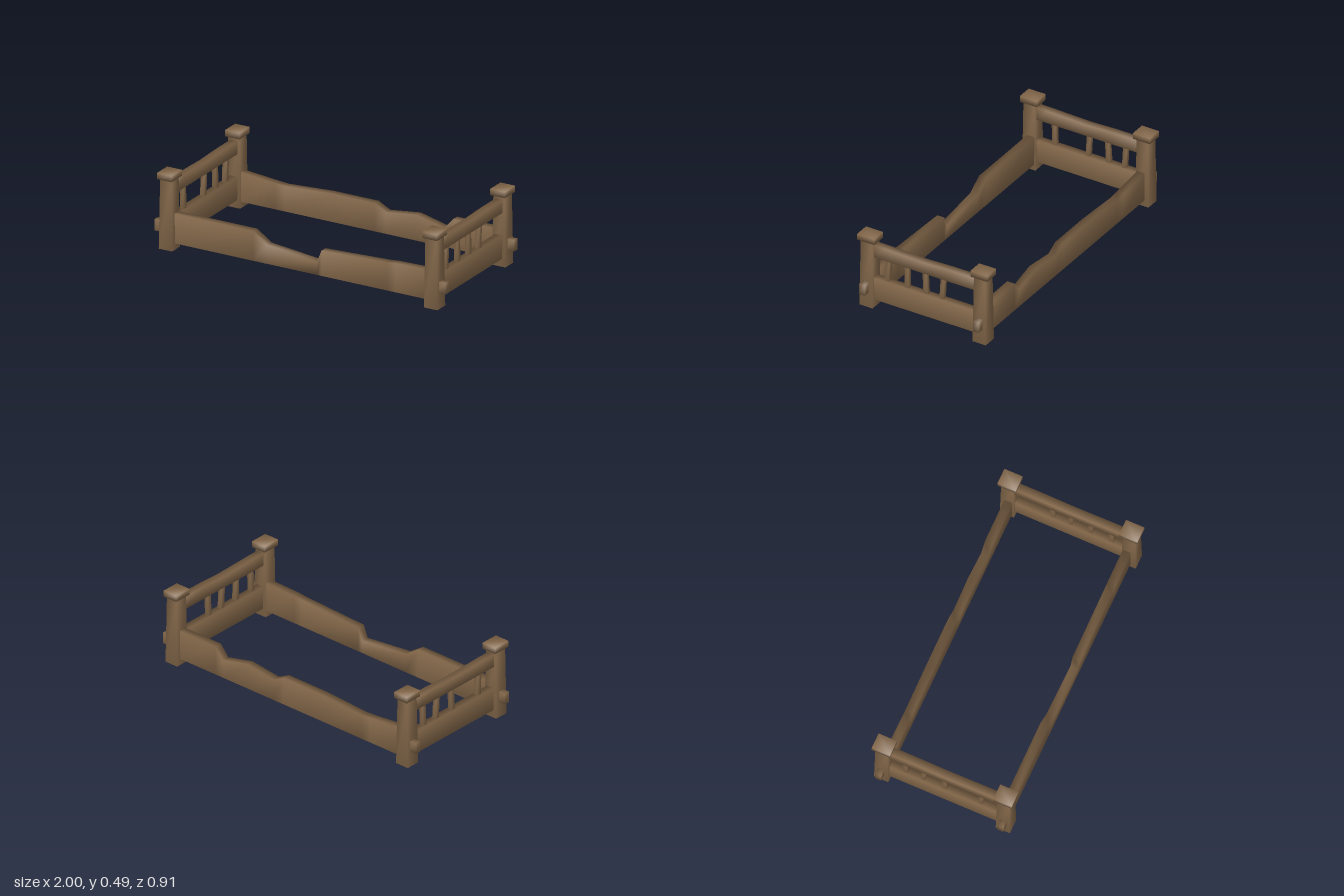
import * as THREE from 'three';
import { mergeVertices } from 'three/addons/utils/BufferGeometryUtils.js';

const wood = new THREE.MeshStandardMaterial({ color: 0x836749 });
wood.name = 'brown wood';

// Unit box whose corners are moved by a rule, with normals smoothed across the edges
function softBox(name, rule, segX = 1, segZ = 1) {
  let g = new THREE.BoxGeometry(1, 1, 1, segX, 1, segZ);
  g.deleteAttribute('normal');
  g.deleteAttribute('uv');
  g = mergeVertices(g);
  const p = g.attributes.position;
  const v = new THREE.Vector3();
  for (let i = 0; i < p.count; i++) {
    rule(v.fromBufferAttribute(p, i));
    p.setXYZ(i, v.x, v.y, v.z);
  }
  g.computeVertexNormals();
  const mesh = new THREE.Mesh(g, wood);
  mesh.name = name;
  return mesh;
}

function block(name, size, x, y, z) {
  return softBox(name, (v) => v.multiply(new THREE.Vector3(...size)).add(new THREE.Vector3(x, y, z)));
}

// Long board whose top edge follows [x, y] points
function sideRail(name, top, z) {
  const n = top.length - 1;
  return softBox(name, (v) => {
    const [x, y] = top[Math.round((v.x + 0.5) * n)];
    v.set(x, v.y > 0 ? y : 0.04, z + v.z * 0.05);
  }, n);
}

export function createModel() {
  const bed = new THREE.Group();
  bed.name = 'bedFrame';

  // Corner posts, flared at the foot, with caps and peg ends
  for (const sx of [-1, 1]) {
    for (const sz of [-1, 1]) {
      const corner = new THREE.Group();
      corner.name = 'cornerPost';
      corner.add(softBox('post', (v) => {
        const w = v.y > 0 ? 0.08 : 0.092;
        v.set(sx * 0.912 + v.x * w, v.y > 0 ? 0.455 : 0, sz * 0.394 + v.z * w);
      }));
      corner.add(block('postCap', [0.1, 0.04, 0.118], sx * 0.912, 0.467, sz * 0.394));
      corner.add(block('peg', [0.07, 0.072, 0.04], sx * 0.965, 0.136, sz * 0.396));
      bed.add(corner);
    }
  }

  // Side rails with broken top edges
  bed.add(sideRail('frontRail', [
    [-0.88, 0.228], [-0.33, 0.228], [-0.23, 0.16], [0.11, 0.123],
    [0.14, 0.2], [0.59, 0.218], [0.65, 0.224], [0.88, 0.228],
  ], 0.381));
  bed.add(sideRail('backRail', [
    [-0.88, 0.228], [-0.635, 0.205], [-0.565, 0.2], [-0.26, 0.218], [0.05, 0.218],
    [0.13, 0.177], [0.34, 0.203], [0.53, 0.158], [0.59, 0.228], [0.88, 0.228],
  ], -0.386));

  // Slats as [z at the top, z at the bottom]
  const slats = {
    '1': [[0.262, 0.27], [0.135, 0.13], [0.008, 0], [-0.12, -0.11]],
    '-1': [[0.24, 0.234], [-0.006, 0.004], [-0.13, -0.14], [-0.258, -0.249]],
  };
  const topEdge = [[-0.36, 0.425], [-0.17, 0.424], [0, 0.418], [0.17, 0.422], [0.27, 0.425], [0.36, 0.425]];

  // End panels
  for (const side of [-1, 1]) {
    const x = side * 0.911;
    const end = new THREE.Group();
    end.name = side > 0 ? 'leftEnd' : 'rightEnd';
    end.add(block('lowerEndRail', [0.05, 0.148, 0.72], x, 0.125, 0));
    end.add(softBox('upperEndRail', (v) => {
      const [z, y] = topEdge[Math.round((v.z + 0.5) * 5)];
      v.set(x + v.x * 0.05, v.y > 0 ? y : 0.343, z);
    }, 1, 5));
    for (const [zTop, zBottom] of slats[side]) {
      end.add(softBox('slat', (v) => {
        const up = v.y > 0;
        v.set(x + v.x * 0.028, up ? 0.35 : 0.19, (up ? zTop : zBottom) + v.z * 0.028);
      }));
    }
    bed.add(end);
  }
  return bed;
}
